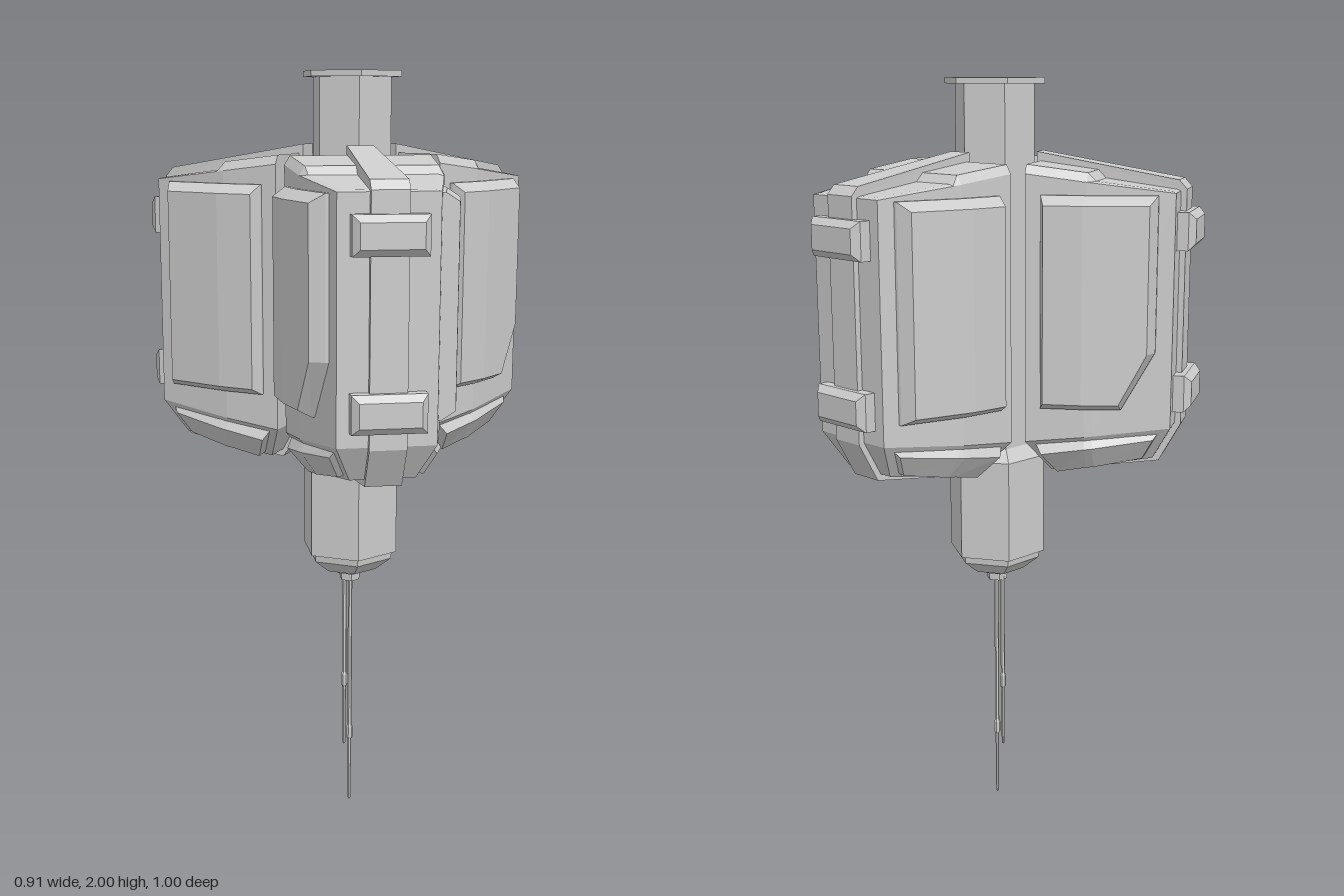
import * as THREE from 'three';

const material = new THREE.MeshStandardMaterial({ color: 0xcccccc, flatShading: true });

function addMesh(parent, name, geometry) {
  const mesh = new THREE.Mesh(geometry, material);
  mesh.name = name;
  parent.add(mesh);
  return mesh;
}

// Loft through rings of [x, y, z]; the ends are closed with strips of quads.
function loft(rings) {
  const pos = [];
  const quad = (a, b, c, d) => [a, b, c, a, c, d].forEach((p) => pos.push(...p));
  const n = rings[0].length;
  for (let k = 0; k + 1 < rings.length; k++) {
    const lo = rings[k], hi = rings[k + 1];
    for (let i = 0; i < n; i++) {
      const j = (i + 1) % n;
      quad(lo[i], lo[j], hi[j], hi[i]);
    }
  }
  const first = rings[0], last = rings[rings.length - 1];
  for (let j = 0; j < n / 2 - 1; j++) {
    const m = n - 1 - j;
    quad(last[j], last[j + 1], last[m - 1], last[m]);
    quad(first[m], first[m - 1], first[j + 1], first[j]);
  }
  const g = new THREE.BufferGeometry();
  g.setAttribute('position', new THREE.Float32BufferAttribute(pos, 3));
  g.computeVertexNormals();
  return g;
}

// Mirror a ring to the other flank, keeping its winding
const flip = (ring) => ring.map(([x, y, z]) => [x, y, -z]).reverse();
// Full symmetric ring from the points of one flank
const mirrored = (half) => [...half, ...flip(half)];
const mix = (a, b, f) => a.map((v, i) => v + (b[i] - v) * f);

// Half width of the pod at radius r
const flank = (r) => (r < 0.28 ? 0.19 - (r - 0.13) * 0.1 : 0.175 - (r - 0.28) * 0.262);

const RADII = [0.13, 0.28, 0.30, 0.49];
const skirtTop = RADII.map((r) => [r, 1.105 + 0.11 * (r - 0.13), flank(r)]);
const skirtBottom = [[0.18, 1.015, 0.11], [0.28, 1.03, 0.11], [0.30, 1.033, 0.11], [0.44, 1.055, 0.08]];

function podBody() {
  const eave = RADII.map((r) => [r, 1.775 - 0.125 * (r - 0.13), flank(r)]);
  // Inner half of the roof is raised, with a step at the fold
  const roof = eave.map(([r, y, t], i) => [i === 3 ? r - 0.01 : r, y + (i < 2 ? 0.022 : 0.004), t - 0.014]);
  return loft([skirtBottom, skirtTop, eave, roof].map(mirrored));
}

// Folded raised panel on one flank, optionally with a cut lower outer corner
function sidePanel(cut) {
  const ring = (inset, lift) => {
    const r0 = 0.17 + inset, r1 = 0.45 - inset, lo = 1.195 + inset * 1.3, hi = 1.725 - inset * 1.6;
    const outline = [
      [r0, lo], [0.28, lo], [0.37, lo], [r1, cut ? 1.34 : lo],
      [r1, hi], [0.37, hi], [0.28, hi], [r0, hi],
    ];
    return outline.map(([r, y]) => [r, y, flank(r) + lift]);
  };
  return [ring(0, -0.01), ring(0, 0.008), ring(0.014, 0.042)];
}

// Raised pad on the sloping skirt
function skirtPad() {
  const ring = (f0, f1, inset, lift) => {
    const at = (i, f) => {
      const [x, y, z] = mix(skirtTop[i], skirtBottom[i], f);
      const dx = i === 0 ? 0.02 + inset : i === 3 ? -0.02 - inset : 0;
      return [x + dx, y - lift * 0.6, z + lift * 0.8];
    };
    return [0, 1, 2, 3].map((i) => at(i, f1)).concat([3, 2, 1, 0].map((i) => at(i, f0)));
  };
  return [ring(0.1, 0.92, 0, -0.005), ring(0.2, 0.82, 0.012, 0.022)];
}

// Bevelled clip across the outer edge
function clip(y) {
  const ring = (x, w, h) => [[x, y - h, w], [x, y - h, -w], [x, y + h, -w], [x, y + h, w]];
  return loft([ring(0.485, 0.09, 0.047), ring(0.518, 0.09, 0.047), ring(0.535, 0.074, 0.03)]);
}

function railGeometry() {
  const shape = new THREE.Shape([
    [0.12, 1.82], [0.13, 1.06], [0.18, 0.995], [0.45, 1.04],
    [0.505, 1.14], [0.505, 1.735], [0.485, 1.757],
  ].map(([x, y]) => new THREE.Vector2(x, y)));
  const g = new THREE.ExtrudeGeometry(shape, { depth: 0.09, bevelEnabled: false });
  g.translate(0, 0, -0.045);
  // Rail narrows towards the core
  const p = g.attributes.position;
  for (let i = 0; i < p.count; i++) p.setZ(i, p.getZ(i) * (p.getX(i) < 0.2 ? 0.75 : 1));
  g.computeVertexNormals();
  return g;
}

function createPod() {
  const pod = new THREE.Group();
  pod.name = 'pod';
  addMesh(pod, 'podBody', podBody());
  addMesh(pod, 'centreRail', railGeometry());
  addMesh(pod, 'cutSidePanel', loft(sidePanel(true)));
  addMesh(pod, 'squareSidePanel', loft(sidePanel(false).map(flip)));
  addMesh(pod, 'skirtPad', loft(skirtPad()));
  addMesh(pod, 'skirtPad', loft(skirtPad().map(flip)));
  for (const y of [1.635, 1.228]) addMesh(pod, 'edgeClip', clip(y));
  return pod;
}

function createCore() {
  const core = new THREE.Group();
  core.name = 'core';
  // Hexagonal sections: name, top radius, bottom radius, bottom y, top y
  const sections = [
    ['topCap', 0.132, 0.132, 1.985, 2.0],
    ['column', 0.105, 0.105, 1.0, 1.985],
    ['collar', 0.1, 0.132, 1.02, 1.06],
    ['lowerHousing', 0.132, 0.132, 0.75, 1.02],
    ['noseRing', 0.12, 0.118, 0.73, 0.75],
    ['noseTaper', 0.118, 0.075, 0.695, 0.73],
    ['needleCollar', 0.04, 0.04, 0.682, 0.697],
    ['needleSocket', 0.03, 0.028, 0.66, 0.684],
  ];
  for (const [name, top, bottom, y0, y1] of sections) {
    const g = new THREE.CylinderGeometry(top, bottom, y1 - y0, 6);
    g.rotateY(Math.PI / 2);
    addMesh(core, name, g).position.y = (y0 + y1) / 2;
  }
  // Antenna needles: x, z, tip height, knuckle height
  for (const [x, z, tip, knuckle] of [[-0.018, -0.01, 0.16, 0.36], [0.003, 0.003, 0, 0.21]]) {
    const profile = [
      [0, tip], [0.004, tip + 0.005], [0.005, knuckle - 0.025], [0.009, knuckle - 0.018],
      [0.009, knuckle + 0.012], [0.006, knuckle + 0.02], [0.006, 0.67],
    ].map(([r, y]) => new THREE.Vector2(r, y));
    addMesh(core, 'needle', new THREE.LatheGeometry(profile, 6)).position.set(x, 0, z);
  }
  return core;
}

export function createModel() {
  const model = new THREE.Group();
  model.name = 'threePodProbe';
  const assembly = new THREE.Group();
  assembly.name = 'assembly';
  assembly.position.x = 0.09;
  assembly.add(createCore());
  // Three pods spaced evenly around the core
  for (const turn of [-1, 1, 3]) {
    const pod = createPod();
    pod.rotation.y = (turn * Math.PI) / 3;
    assembly.add(pod);
  }
  model.add(assembly);
  return model;
}
